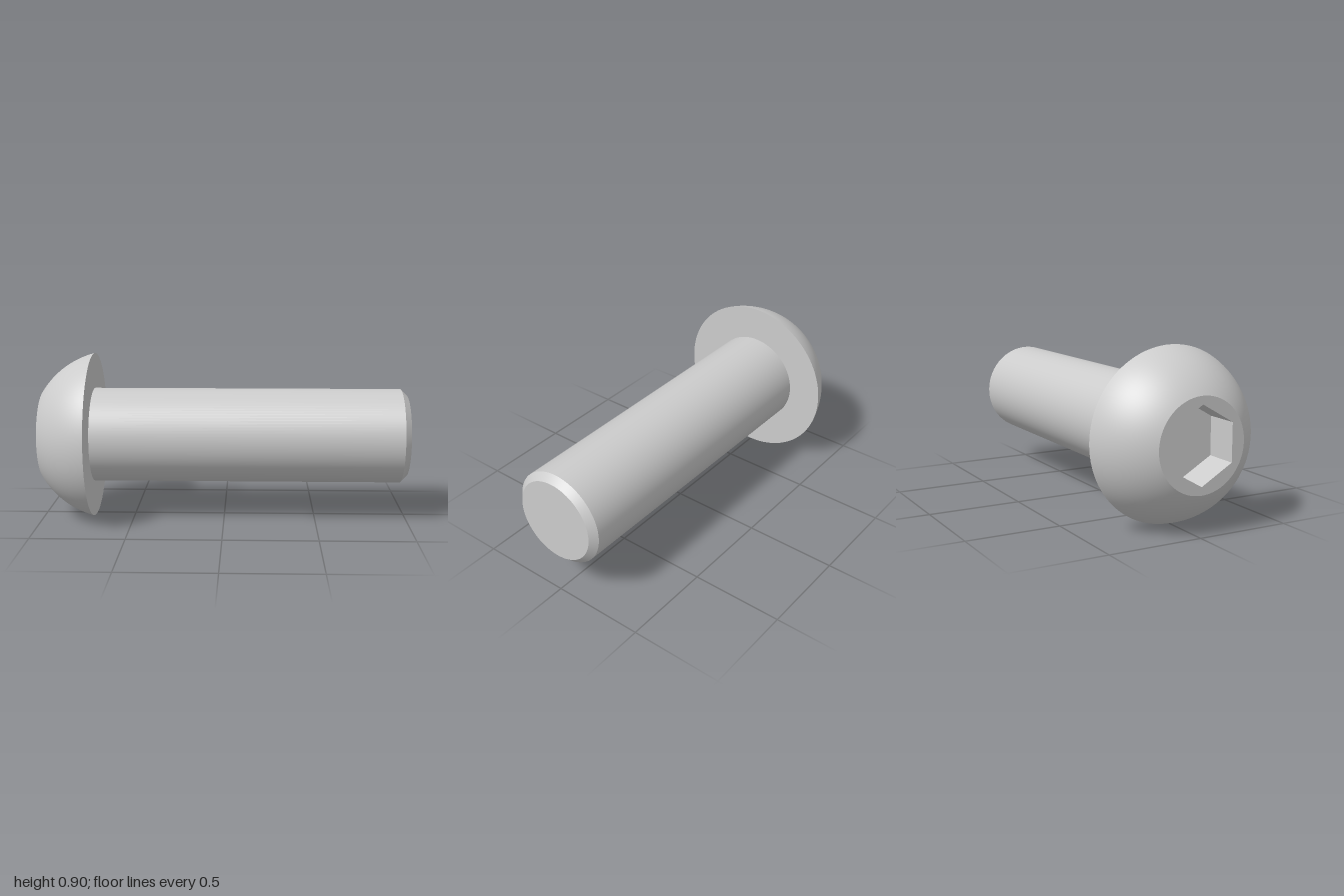
import * as THREE from 'three';
import { toCreasedNormals } from 'three/addons/utils/BufferGeometryUtils.js';

const SEG = 96;
const HEAD_R = 0.45, FACE_R = 0.24, SHAFT_R = 0.2575, TIP_R = 0.2225;
const FACE = -1, SEAT = -0.717, TIP = 1, CHAMFER = 0.035;
const HEX_R = 0.198, HEX_DEPTH = 0.178;

export function createModel() {
  const root = new THREE.Group();
  root.name = 'buttonHeadScrew';
  const material = new THREE.MeshStandardMaterial({ color: 0xcccccc });
  const inner = new THREE.MeshStandardMaterial({ color: 0xcccccc, side: THREE.DoubleSide });

  // everything is turned around local y, then laid along x
  const screw = new THREE.Group();
  screw.name = 'screw';
  screw.rotation.z = -Math.PI / 2;
  screw.position.y = HEAD_R;
  root.add(screw);

  const add = (name, geometry, mat = material) => {
    const mesh = new THREE.Mesh(geometry, mat);
    mesh.name = name;
    screw.add(mesh);
    return mesh;
  };
  const turned = (points) => toCreasedNormals(
    new THREE.LatheGeometry(points.map(([r, y]) => new THREE.Vector2(r, y)), SEG), 0.5);

  // domed head: a slice of a sphere centred on the axis, with a flat seat
  const h = SEAT - FACE;
  const u = (HEAD_R ** 2 - FACE_R ** 2 - h * h) / (2 * h);
  const R = Math.hypot(u, HEAD_R), centre = SEAT + u;
  const a0 = Math.atan2(FACE_R, u + h), a1 = Math.atan2(HEAD_R, u);
  const dome = [];
  for (let i = 0; i <= 20; i++) {
    const a = a0 + (a1 - a0) * i / 20;
    dome.push([R * Math.sin(a), centre - R * Math.cos(a)]);
  }
  add('head', turned([...dome, [SHAFT_R, SEAT]]));

  // shaft with chamfered tip
  add('shaft', turned([[SHAFT_R, SEAT], [SHAFT_R, TIP - CHAMFER], [TIP_R, TIP]]));
  add('tip', new THREE.CircleGeometry(TIP_R, SEG).rotateX(-Math.PI / 2)).position.y = TIP;

  // flat end of the head, pierced by the hexagon
  const ring = new THREE.Shape().absarc(0, 0, FACE_R, 0, Math.PI * 2);
  const corners = Array.from({ length: 6 }, (_, i) => new THREE.Vector2(
    HEX_R * Math.cos(i * Math.PI / 3), HEX_R * Math.sin(i * Math.PI / 3)));
  ring.holes.push(new THREE.Path(corners));
  add('headFace', new THREE.ShapeGeometry(ring, SEG / 2).rotateX(Math.PI / 2)).position.y = FACE;

  // hexagonal socket
  const walls = new THREE.CylinderGeometry(HEX_R, HEX_R, HEX_DEPTH, 6, 1, true, Math.PI / 6);
  add('socketWalls', toCreasedNormals(walls, 0.5), inner).position.y = FACE + HEX_DEPTH / 2;
  add('socketFloor', new THREE.CircleGeometry(HEX_R, 6).rotateX(Math.PI / 2)).position.y = FACE + HEX_DEPTH;

  return root;
}
